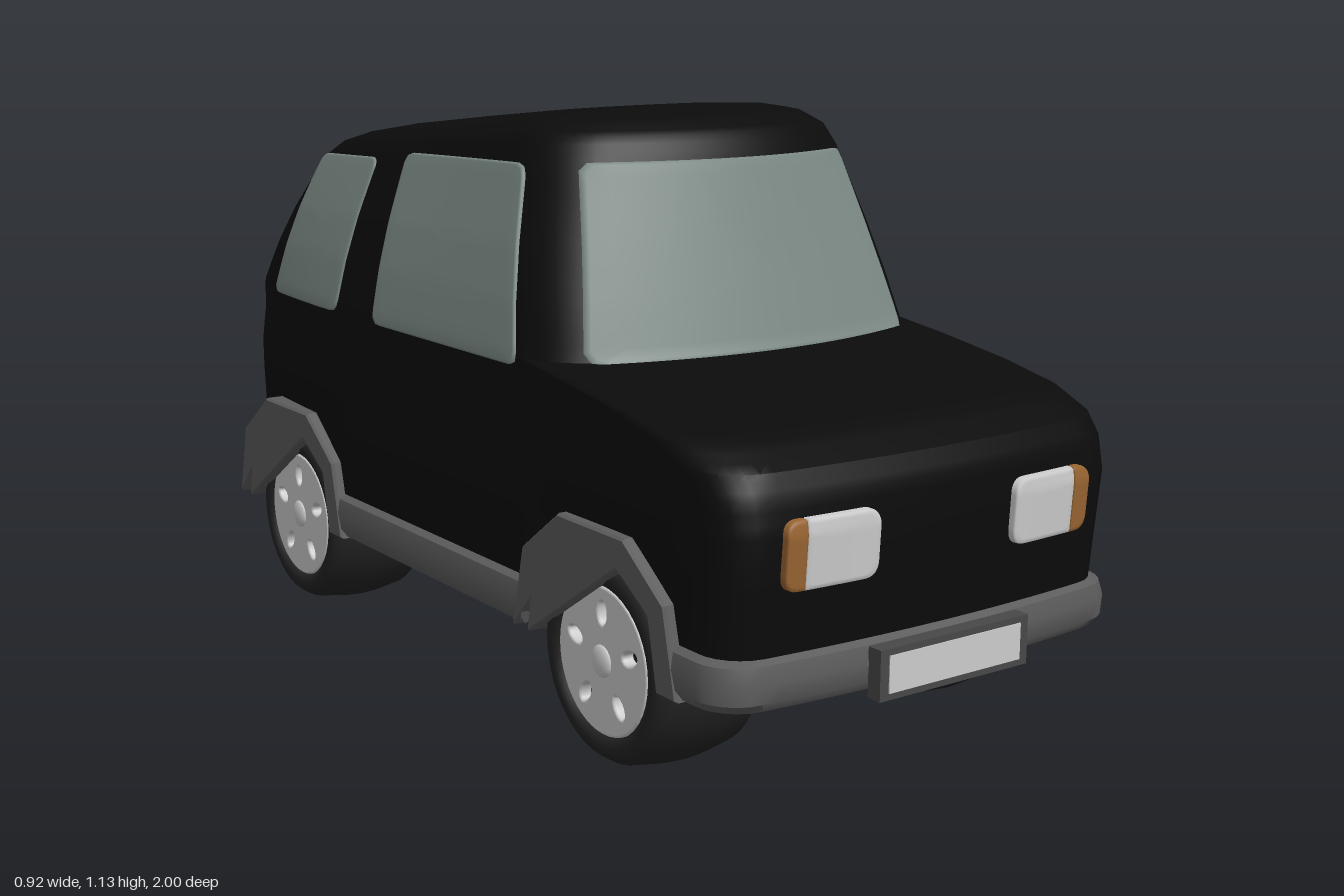
import * as THREE from 'three';
import { toCreasedNormals } from 'three/addons/utils/BufferGeometryUtils.js';

const mat = (color, side = THREE.FrontSide) => new THREE.MeshStandardMaterial({ color, side });
const AXLES = [0.57, -0.625];

// Body levels: y, half width, front z, back z, front bow, back bow, corner radius
const LEVELS = [
  [0.22, 0.438, 0.95, -0.955, 0.03, 0.08, 0.07],
  [0.5, 0.445, 0.965, -0.965, 0.02, 0.08, 0.07],
  [0.56, 0.445, 0.962, -0.966, 0.03, 0.08, 0.07],
  [0.6, 0.445, 0.945, -0.966, 0.03, 0.08, 0.09],
  [0.635, 0.444, 0.88, -0.966, 0.03, 0.08, 0.11],
  [0.66, 0.443, 0.76, -0.966, 0.03, 0.08, 0.11],
  [0.685, 0.443, 0.61, -0.962, 0.06, 0.08, 0.1],
  [0.702, 0.442, 0.505, -0.953, 0.1, 0.08, 0.09],
  [0.8, 0.425, 0.472, -0.893, 0.1, 0.08, 0.09],
  [0.9, 0.402, 0.438, -0.832, 0.1, 0.08, 0.09],
  [1.05, 0.36, 0.388, -0.741, 0.1, 0.08, 0.09],
  [1.09, 0.343, 0.368, -0.69, 0.1, 0.08, 0.09],
  [1.115, 0.31, 0.325, -0.62, 0.09, 0.08, 0.09],
  [1.13, 0.255, 0.25, -0.5, 0.07, 0.06, 0.09],
  [1.137, 0.17, 0.15, -0.35, 0.05, 0.05, 0.08],
];

function level(y, offset = 0) {
  let i = 0;
  while (i < LEVELS.length - 2 && y > LEVELS[i + 1][0]) i++;
  const a = LEVELS[i], b = LEVELS[i + 1];
  const t = THREE.MathUtils.clamp((y - a[0]) / (b[0] - a[0]), 0, 1);
  const [, w, zf, zb, bf, bb, r] = a.map((v, k) => v + (b[k] - v) * t);
  return { y, w: w + offset, zf: zf + offset, zb: zb - offset, bf, bb, r };
}

// Plan shape: bowed ends with rounded corners, sides drawn in towards the back
const taper = (z) => 1 - 0.12 * (Math.max(0, -0.35 - z) / 0.6) ** 2;
const backTaper = (l) => taper(l.zb + l.bb + l.r);
function setback(l, x, bow) {
  const ax = Math.min(Math.abs(x), l.w), e = Math.max(0, ax - (l.w - l.r));
  return bow * (ax / l.w) ** 2 + l.r - Math.sqrt(Math.max(0, l.r * l.r - e * e));
}
// The roof falls gently to the back
const roofY = (y, z) => y - 0.097 * Math.max(0, 0.2 - z) * (Math.max(0, y - 0.7) / 0.43) ** 2;

function archY(z) {
  let y = 0;
  for (const a of AXLES) {
    const d = Math.abs(z - a);
    if (d < 0.225) y = Math.max(y, 0.2 + Math.sqrt(0.225 ** 2 - d * d));
  }
  return y;
}

// One closed ring, starting at the front centre and running round +x
function ring(l, mapY) {
  const half = [], E = 16, S = 64;
  for (let i = 0; i <= E; i++) {
    const x = l.w * Math.sin((i / E) * Math.PI / 2);
    half.push([x, l.zf - setback(l, x, l.bf)]);
  }
  const z0 = l.zf - l.bf - l.r, z1 = l.zb + l.bb + l.r;
  for (let i = 1; i < S; i++) {
    const z = z0 + (z1 - z0) * i / S;
    half.push([l.w * taper(z), z]);
  }
  for (let i = E; i >= 0; i--) {
    const x = l.w * Math.sin((i / E) * Math.PI / 2);
    half.push([x * backTaper(l), l.zb + setback(l, x, l.bb)]);
  }
  const mirrored = half.slice(1, -1).reverse().map(([x, z]) => [-x, z]);
  return [...half, ...mirrored].map(([x, z]) => [x, mapY(l.y, z), z]);
}

function loft(levels, mapY, caps) {
  const rings = levels.map((l) => ring(l, mapY)), N = rings[0].length, idx = [];
  const top = (rings.length - 1) * N;
  for (let i = 0; i < rings.length - 1; i++) for (let j = 0; j < N; j++) {
    const a = i * N + j, b = i * N + (j + 1) % N;
    idx.push(a, b, b + N, a, b + N, a + N);
  }
  if (caps) for (let j = 0; j < N / 2; j++) {
    const a = j, b = j + 1, c = N - j - 1, d = (N - j) % N;
    idx.push(a, c, b, a, d, c);
    idx.push(top + a, top + b, top + c, top + a, top + c, top + d);
  }
  const g = new THREE.BufferGeometry();
  g.setAttribute('position', new THREE.Float32BufferAttribute(rings.flat(2), 3));
  g.setIndex(idx);
  return toCreasedNormals(g, 0.6);
}

// Projections of a flat outline onto the body
const onFront = (x, y, o) => { const l = level(y); return [x, y, l.zf - setback(l, x, l.bf) + o]; };
const onBack = (x, y, o) => {
  const l = level(y), z = l.zb + setback(l, x / backTaper(l), l.bb);
  return [x, roofY(y, z), z - o];
};
const onSide = (s) => (z, y, o) => [s * (level(y).w * taper(z) + o), roofY(y, z), z];

// Raised panel with rounded corners that follows the body surface
function panel(corners, radii, project, lift) {
  const P = corners.map((c) => new THREE.Vector2(...c)), n = P.length, shape = new THREE.Shape();
  P.forEach((p, i) => {
    const near = (q) => p.clone().add(q.clone().sub(p).setLength(radii[i]));
    const a = near(P[(i + n - 1) % n]), b = near(P[(i + 1) % n]);
    if (i) shape.lineTo(a.x, a.y); else shape.moveTo(a.x, a.y);
    shape.quadraticCurveTo(p.x, p.y, b.x, b.y);
  });
  shape.closePath();
  const pts = shape.getSpacedPoints(96).slice(0, 96), N = pts.length;
  const c = P.reduce((s, p) => s.add(p), new THREE.Vector2()).divideScalar(n);
  const pos = [], idx = [], scales = [1, 0.995, 0.97, 0.85, 0.7, 0.55, 0.4, 0.25, 0.1, 0];
  scales.forEach((s, k) => {
    const o = k === 0 ? -0.008 : k === 1 ? lift * 0.7 : lift;
    for (const p of pts) pos.push(...project(c.x + (p.x - c.x) * s, c.y + (p.y - c.y) * s, o));
    if (k) for (let j = 0; j < N; j++) {
      const a = (k - 1) * N + j, b = (k - 1) * N + (j + 1) % N;
      idx.push(a, b, b + N, a, b + N, a + N);
    }
  });
  const g = new THREE.BufferGeometry();
  g.setAttribute('position', new THREE.Float32BufferAttribute(pos, 3));
  g.setIndex(idx);
  g.computeVertexNormals();
  return g;
}

export function createModel() {
  const car = new THREE.Group();
  const paint = mat(0x0b0b0b), trim = mat(0x5c5c5c, THREE.DoubleSide), tyreMat = mat(0x222222);
  const glass = mat(0x7a8883, THREE.DoubleSide), lamp = mat(0xcccccc, THREE.DoubleSide);
  const amber = mat(0x9a6532, THREE.DoubleSide), alloy = mat(0xcccccc), frameMat = mat(0x484848);
  const add = (name, geo, material, parent = car) => {
    const m = new THREE.Mesh(geo, material);
    m.name = name;
    parent.add(m);
    return m;
  };

  // Body shell with wheel openings cut along its lower edge
  const ys = LEVELS.slice(1).flatMap((b, i) => [0, 1, 2].map((k) => LEVELS[i][0] + (b[0] - LEVELS[i][0]) * k / 3));
  ys.push(1.137);
  const bodyY = (y, z) => {
    if (y >= 0.5) return roofY(y, z);
    const low = Math.max(0.22, archY(z));
    return low + (y - 0.22) / 0.28 * (0.5 - low);
  };
  add('body', loft(ys.map((y) => level(y)), bodyY, true), paint);
  add('floor', new THREE.BoxGeometry(0.36, 0.22, 1.7), paint).position.y = 0.335;

  // Bumpers and sills in one band, interrupted by the wheel openings
  const band = [[-0.07, 0.215], [0.008, 0.208], [0.02, 0.225], [0.022, 0.26], [0.016, 0.288], [-0.006, 0.3]];
  add('bumperAndSillBand', loft(band.map(([o, y]) => ({ ...level(0.25, o), y })),
    (y, z) => Math.max(y, archY(z)), false), trim);

  // Windows
  const r4 = (r) => [r, r, r, r];
  add('windshield', panel([[-0.378, 0.7], [0.378, 0.7], [0.308, 1.046], [-0.308, 1.046]], r4(0.018), onFront, 0.005), glass);
  add('rearWindow', panel([[-0.345, 0.705], [0.345, 0.705], [0.275, 1.06], [-0.275, 1.06]], r4(0.025), onBack, 0.005), glass);
  for (const s of [1, -1]) {
    const side = s > 0 ? 'left' : 'right';
    add(side + 'FrontWindow', panel([[0.313, 0.685], [-0.24, 0.685], [-0.232, 1.058], [0.222, 1.04]], r4(0.025), onSide(s), 0.005), glass);
    add(side + 'RearWindow', panel([[-0.402, 0.687], [-0.74, 0.687], [-0.615, 1.055], [-0.35, 1.045]], r4(0.025), onSide(s), 0.005), glass);

    // Lamps with an amber outer end
    for (const [end, proj] of [['front', onFront], ['rear', onBack]]) {
      add(end + 'Lamp', panel([[s * 0.155, 0.405], [s * 0.306, 0.405], [s * 0.306, 0.526], [s * 0.155, 0.526]],
        [0.03, 0.002, 0.002, 0.03], proj, 0.014), lamp);
      add(end + 'Indicator', panel([[s * 0.306, 0.405], [s * 0.346, 0.405], [s * 0.346, 0.526], [s * 0.306, 0.526]],
        [0.002, 0.028, 0.028, 0.002], proj, 0.014), amber);
    }
  }

  // Angular wheel arch flares
  const outer = [[-0.25, 0.208], [-0.215, 0.36], [-0.1, 0.445]], inner = [[-0.2, 0.208], [-0.175, 0.335], [-0.08, 0.395]];
  const flip = (pts) => pts.map(([x, y]) => [-x, y]).reverse();
  const outline = [...outer, ...flip(outer), ...flip(flip(flip(inner))), ...inner.slice().reverse()];
  const flare = new THREE.ExtrudeGeometry(new THREE.Shape(outline.map((p) => new THREE.Vector2(...p))),
    { depth: 0.09, bevelEnabled: true, bevelSize: 0.004, bevelThickness: 0.006, bevelSegments: 1 });
  flare.translate(0, 0, -0.045).rotateY(Math.PI / 2);

  // Wheel: closed tyre and alloy rim with five openings
  const tyre = new THREE.LatheGeometry([[0, -0.125], [0.11, -0.125], [0.165, -0.115], [0.188, -0.085], [0.198, -0.03], [0.2, 0],
    [0.198, 0.04], [0.188, 0.1], [0.175, 0.12], [0.155, 0.125], [0.138, 0.118], [0.134, 0.095], [0, 0.095]]
    .map((p) => new THREE.Vector2(...p)), 40);
  tyre.rotateZ(-Math.PI / 2);
  const disc = new THREE.Shape().absarc(0, 0, 0.132, 0, Math.PI * 2);
  for (let i = 0; i < 5; i++) {
    const a = Math.PI / 2 + i * Math.PI * 2 / 5;
    disc.holes.push(new THREE.Path().absellipse(0.088 * Math.cos(a), 0.088 * Math.sin(a), 0.026, 0.017, 0, Math.PI * 2, true, a));
  }
  const rim = new THREE.ExtrudeGeometry(disc, { depth: 0.012, bevelSize: 0.005, bevelThickness: 0.007, bevelSegments: 3, curveSegments: 24 });
  rim.translate(0, 0, 0.1).rotateY(Math.PI / 2);
  const hub = new THREE.SphereGeometry(0.03, 20, 10);
  hub.scale(0.35, 1, 1).translate(0.118, 0, 0);

  AXLES.forEach((z, k) => [1, -1].forEach((s) => {
    const wheel = new THREE.Group();
    wheel.name = (k ? 'rear' : 'front') + (s > 0 ? 'Left' : 'Right') + 'Wheel';
    add('tyre', tyre, tyreMat, wheel);
    add('rim', rim, alloy, wheel);
    add('hub', hub, alloy, wheel);
    wheel.position.set(s * 0.316, 0.2, z);
    if (s < 0) wheel.rotation.y = Math.PI;
    car.add(wheel);
    add('archFlare', flare, trim).position.set(s * 0.411, 0, z);
  }));

  // Blank plates in frames
  for (const s of [1, -1]) {
    add('plateFrame', new THREE.BoxGeometry(0.342, 0.09, 0.03), frameMat).position.set(0, 0.243, s * 0.983);
    add('plate', new THREE.BoxGeometry(0.304, 0.066, 0.01), lamp).position.set(0, 0.243, s * 0.995);
  }
  return car;
}
